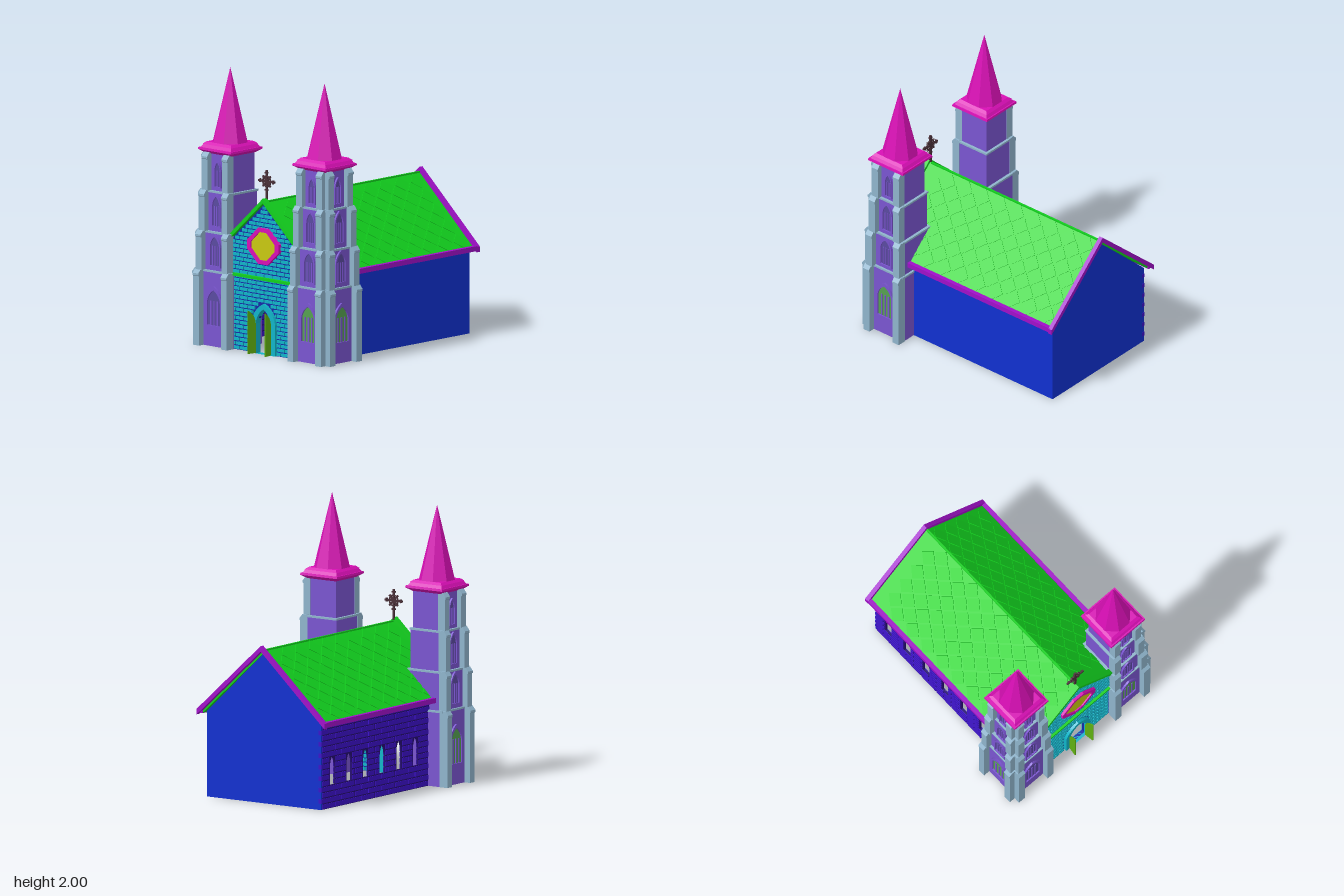
import * as THREE from 'three';
import { mergeGeometries } from 'three/addons/utils/BufferGeometryUtils.js';

const mat = (color) => new THREE.MeshStandardMaterial({ color, flatShading: true, side: THREE.DoubleSide });
const M = {
  tower: mat(0x7a55d0), stone: mat(0x8fb4cc), spire: mat(0xd80fb5), roof: mat(0x12d01e),
  trim: mat(0xa010c8), wall: mat(0x1030d0), brick: mat(0x10b4c8), mortar: mat(0x1428a8),
  sideBrick: mat(0x3c10c8), sideMortar: mat(0x240a70), yellow: mat(0xc8c810),
  door: mat(0x5fb010), glass: mat(0x55a050), dark: mat(0x5a4aa0), iron: mat(0x4a3038),
};

function add(parent, name, geo, material, x = 0, y = 0, z = 0) {
  const m = new THREE.Mesh(geo, material);
  m.name = name;
  m.position.set(x, y, z);
  parent.add(m);
  return m;
}
const box = (w, h, d) => new THREE.BoxGeometry(w, h, d);
const poly = (pts) => new THREE.Shape(pts.map(([x, y]) => new THREE.Vector2(x, y)));
const extrude = (shape, depth) =>
  new THREE.ExtrudeGeometry(shape, { depth, bevelEnabled: false, curveSegments: 6 });

// Pointed arch outline
function lancet(w, y0, spring, top, cx = 0, Type = THREE.Shape) {
  const s = new Type();
  s.moveTo(cx - w, y0);
  s.lineTo(cx + w, y0);
  s.lineTo(cx + w, spring);
  s.quadraticCurveTo(cx + w * 0.85, (spring + 2 * top) / 3, cx, top);
  s.quadraticCurveTo(cx - w * 0.85, (spring + 2 * top) / 3, cx - w, spring);
  s.lineTo(cx - w, y0);
  return s;
}
function frame(outer, hole, depth) {
  outer.holes.push(hole);
  return extrude(outer, depth);
}
// Inverted V section run along z
const chevron = (w, top, low, t, depth) =>
  extrude(poly([[-w, low], [-w, low - t], [0, top - t], [w, low - t], [w, low], [0, top]]), depth);

// Fill the span a..b of one course with bricks
function course(list, a, b, y, len, h, d, shift) {
  const gap = 0.009;
  for (let x = Math.floor(a / len) * len - shift; x < b; x += len) {
    const l = Math.max(a, x), r = Math.min(b, x + len) - gap;
    if (r - l > 0.006) list.push(box(r - l, h - gap, d).translate((l + r) / 2, y + h / 2, 0));
  }
}

const STAGES = [ // y0, y1, body half width, buttress depth, window half width, sill, top
  [0.005, 0.55, 0.16, 0.05, 0.08, 0.14, 0.44],
  [0.55, 0.83, 0.15, 0.045, 0.057, 0.575, 0.815],
  [0.83, 1.12, 0.135, 0.043, 0.048, 0.86, 1.1],
  [1.12, 1.39, 0.122, 0.038, 0.034, 1.145, 1.34],
];

function tower(side) {
  const g = new THREE.Group();
  g.name = side > 0 ? 'leftTower' : 'rightTower';
  g.position.set(side * 0.46, 0, 0.64);
  STAGES.forEach(([y0, y1, half, d, w, sill, top], i) => {
    add(g, 'towerStage', box(half * 2, y1 - y0, half * 2), M.tower, 0, (y0 + y1) / 2, 0);
    if (i < 3) add(g, 'stringBand', box(half * 2 + 0.012, 0.014, half * 2 + 0.012), M.stone, 0, y1 - 0.006, 0);
    // Buttresses and lancets on the front and outer faces
    for (const turn of [0, side * Math.PI / 2]) {
      const f = new THREE.Group();
      f.name = 'towerFace';
      f.rotation.y = turn;
      g.add(f);
      const fw = 0.056;
      const prof = poly([[-0.02, y0], [d, y0], [d, y1 - 0.045], [d + 0.006, y1 - 0.04], [d + 0.006, y1 - 0.025],
        [d - 0.018, y1 + 0.004], [-0.02, y1 + 0.004]]);
      for (const e of [-1, 1]) {
        const fin = extrude(prof, fw).rotateY(-Math.PI / 2).translate(fw / 2, 0, 0);
        add(f, 'buttress', fin, M.stone, e * (half - fw / 2 + 0.004), 0, half);
      }
      const spring = sill + (top - sill) * 0.62, t = w * 0.22;
      const hole = lancet(w - t, sill + t, spring, top - t * 1.6, 0, THREE.Path);
      add(f, 'windowFrame', frame(lancet(w, sill, spring, top), hole, 0.014), M.tower, 0, 0, half);
      const lit = i === 0 && !(side < 0 && turn === 0);
      add(f, 'windowGlass', extrude(lancet(w - t, sill + t, spring, top - t * 1.6), 0.003), lit ? M.glass : M.dark, 0, 0, half);
      for (const k of [-0.4, 0, 0.4])
        add(f, 'mullion', box(w * 0.14, spring - sill, 0.008), M.tower, k * w, (sill + spring) / 2 + t / 2, half + 0.004);
    }
  });
  // Square flared eave, then an eight-sided spire
  for (const [lo, hi, a, b] of [[1.385, 1.41, 0.125, 0.16], [1.41, 1.425, 0.163, 0.16], [1.425, 1.448, 0.15, 0.135], [1.448, 1.465, 0.14, 0.12]])
    add(g, 'spireEave', new THREE.CylinderGeometry(b * Math.SQRT2, a * Math.SQRT2, hi - lo, 4).rotateY(Math.PI / 4),
      M.spire, 0, (lo + hi) / 2, 0);
  add(g, 'spire', new THREE.ConeGeometry(0.122 / Math.cos(Math.PI / 8), 0.54, 8).rotateY(Math.PI / 8), M.spire, 0, 1.73, 0);
  return g;
}

function facade() {
  const g = new THREE.Group();
  g.name = 'facade';
  const wall = poly([[-0.33, 0.005], [0.33, 0.005], [0.33, 0.8], [0, 1.1], [-0.33, 0.8]]);
  add(g, 'facadeWall', frame(wall, lancet(0.075, 0.005, 0.22, 0.33, 0, THREE.Path), 0.025), M.mortar, 0, 0, 0.738);
  // Brick courses follow the gable and leave the doorway free
  const bricks = [], h = 0.0305;
  for (let i = 0; i < 35; i++) {
    const y = 0.006 + i * h, shift = (i % 2) * 0.04;
    const w = Math.min(0.32, (1.09 - y - h) / 0.91);
    const door = y < 0.22 ? 0.115 : y < 0.35 ? 0.115 * Math.sqrt(1 - ((y - 0.22) / 0.14) ** 2) : 0;
    if (door) {
      course(bricks, -w, -door, y, 0.08, h, 0.045, shift);
      course(bricks, door, w, y, 0.08, h, 0.045, shift);
    } else course(bricks, -w, w, y, 0.08, h, 0.045, shift);
  }
  add(g, 'facadeBricks', mergeGeometries(bricks), M.brick, 0, 0, 0.75);
  add(g, 'doorSurround', frame(lancet(0.115, 0.005, 0.23, 0.37), lancet(0.075, 0.005, 0.22, 0.33, 0, THREE.Path), 0.05),
    M.brick, 0, 0, 0.735);
  // Open door leaves
  for (const s of [-1, 1]) {
    const leaf = new THREE.Shape();
    leaf.moveTo(0, 0.008);
    leaf.lineTo(0.07, 0.008);
    leaf.lineTo(0.07, 0.32);
    leaf.quadraticCurveTo(0.01, 0.29, 0, 0.22);
    const m = add(g, 'doorLeaf', extrude(leaf, 0.008), M.door, s * 0.074, 0, 0.783);
    m.rotation.y = -Math.PI / 2 + s * 0.15;
  }
  add(g, 'stringCourse', box(0.6, 0.02, 0.03), M.roof, 0, 0.548, 0.775);
  // Chamfered diamond window
  const ring = [[-0.045, 0.13], [0.045, 0.13], [0.155, 0.03], [0.155, -0.03], [0.045, -0.13], [-0.045, -0.13], [-0.155, -0.03], [-0.155, 0.03]];
  const inner = ring.map(([x, y]) => [x * 0.76, y * 0.78]);
  add(g, 'roseFrame', frame(poly(ring), poly(inner), 0.03), M.spire, 0, 0.785, 0.762);
  add(g, 'roseGlass', extrude(poly(inner), 0.02), M.yellow, 0, 0.785, 0.762);
  add(g, 'gableCoping', chevron(0.325, 1.13, 0.835, 0.035, 0.04), M.roof, 0, 0, 0.752);
  return g;
}

function cross() {
  const g = new THREE.Group();
  g.name = 'cross';
  g.position.set(0, 1.25, 0.75);
  add(g, 'crossPost', box(0.014, 0.22, 0.014), M.iron, 0, -0.03, 0);
  add(g, 'crossRing', new THREE.TorusGeometry(0.038, 0.006, 6, 20), M.iron);
  for (let i = 0; i < 8; i++) {
    const long = i % 2 === 0, len = long ? 0.078 : 0.052;
    const arm = add(g, 'crossArm', box(0.012, len, 0.012).translate(0, len / 2, 0), M.iron);
    arm.rotation.z = i * Math.PI / 4;
    if (long) add(arm, 'crossTip', box(0.026, 0.012, 0.014), M.iron, 0, len - 0.016, 0);
  }
  return g;
}

function nave() {
  const g = new THREE.Group();
  g.name = 'nave';
  add(g, 'leftWall', box(0.015, 0.615, 1.31), M.wall, 0.492, 0.3125, -0.155);
  add(g, 'backWall', extrude(poly([[-0.5, 0.005], [0.5, 0.005], [0.5, 0.62], [0, 1.085], [-0.5, 0.62]]), 0.015), M.wall, 0, 0, -0.81);

  // Brick side wall with six lancet openings; local x runs along z
  const centres = [0, 1, 2, 3, 4, 5].map((i) => -0.67 + i * 0.2);
  const side = new THREE.Group();
  side.name = 'rightWall';
  side.rotation.y = -Math.PI / 2;
  side.position.x = -0.49;
  g.add(side);
  const wall = poly([[-0.805, 0.005], [0.5, 0.005], [0.5, 0.62], [-0.805, 0.62]]);
  centres.forEach((c) => wall.holes.push(lancet(0.032, 0.17, 0.3, 0.38, c, THREE.Path)));
  add(side, 'rightWallCore', extrude(wall, 0.014), M.sideMortar, 0, 0, -0.007);
  const bricks = [], h = 0.041;
  for (let i = 0; i < 15; i++) {
    const y = 0.005 + i * h, shift = (i % 2) * 0.08;
    const open = y + h > 0.17 && y < 0.36;
    let a = -0.812;
    for (const c of open ? centres : []) {
      course(bricks, a, c - 0.034, y, 0.16, h, 0.024, shift);
      a = c + 0.034;
    }
    course(bricks, a, 0.5, y, 0.16, h, 0.024, shift);
  }
  add(side, 'rightWallBricks', mergeGeometries(bricks), M.sideBrick);

  // Roof with thin diamond shingles on each slope
  add(g, 'roof', chevron(0.535, 1.105, 0.622, 0.022, 1.58), M.roof, 0, 0, -0.82);
  const angle = Math.atan2(0.483, 0.535), tiles = [];
  for (let r = 0; r < 9; r++)
    for (let z = -0.74 + (r % 2) * 0.08; z < 0.7; z += 0.16) {
      const t = box(0.094, 0.006, 0.094).rotateY(Math.PI / 4).rotateZ(-0.03);
      tiles.push(t.translate(0.075 + r * 0.071, 0.001, z));
    }
  const slope = mergeGeometries(tiles);
  for (const s of [0, 1]) {
    const pivot = new THREE.Group();
    pivot.name = 'roofSlope';
    pivot.rotation.y = s * Math.PI;
    pivot.position.y = 1.105;
    g.add(pivot);
    const geo = s ? slope.clone().translate(0, 0, 0.06) : slope;
    add(pivot, 'shingles', geo, M.roof).rotation.z = -angle;
  }
  add(g, 'ridge', box(0.014, 0.012, 1.56), M.roof, 0, 1.104, -0.04);
  add(g, 'bargeBoard', chevron(0.56, 1.14, 0.635, 0.04, 0.032), M.trim, 0, 0, -0.853);
  for (const s of [-1, 1]) add(g, 'eaveTrim', box(0.032, 0.036, 1.33), M.trim, s * 0.543, 0.622, -0.165);
  return g;
}

export function createModel() {
  const model = new THREE.Group();
  model.name = 'church';
  model.add(nave(), facade(), cross(), tower(1), tower(-1));
  return model;
}
